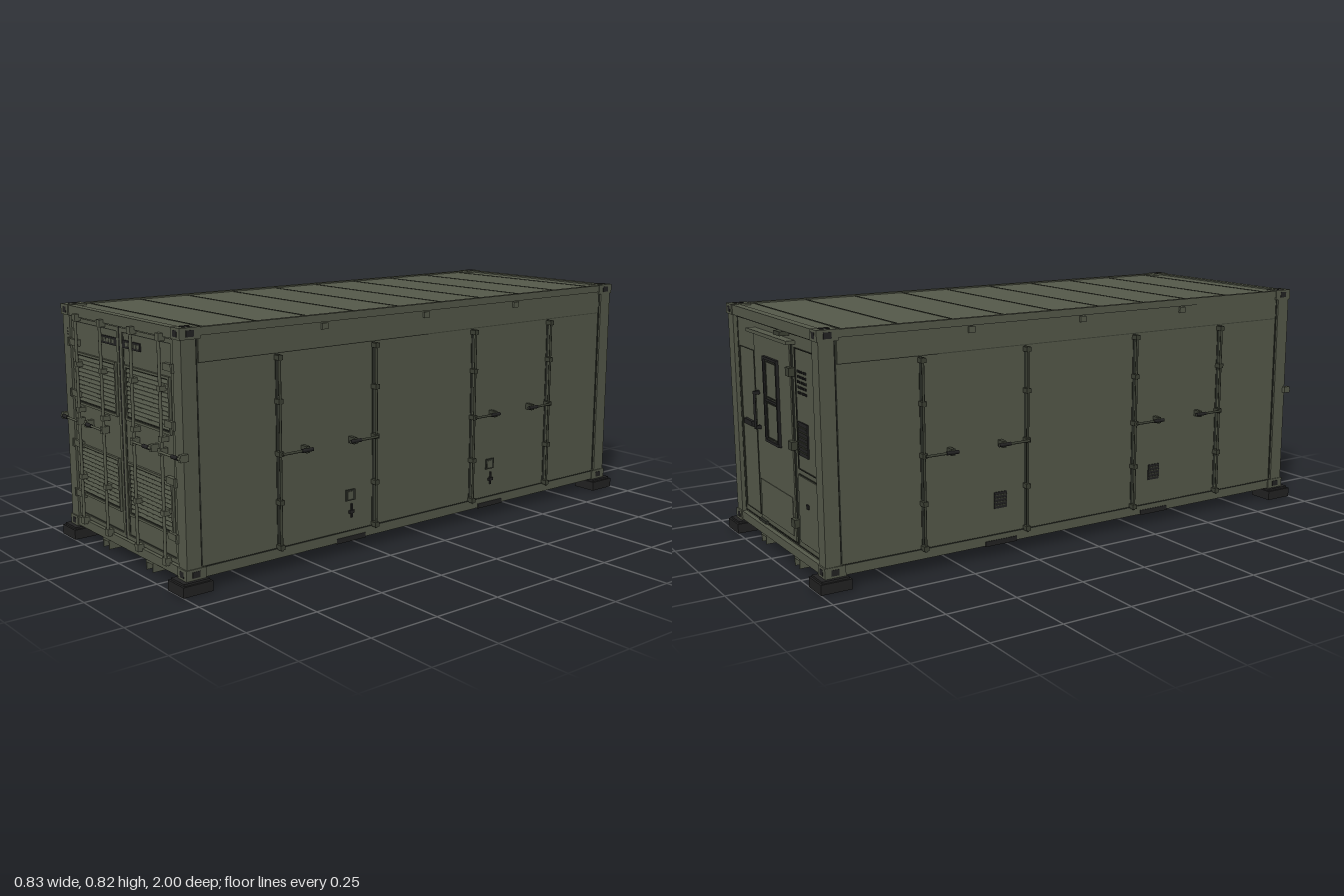
import * as THREE from 'three';

const mat = (name, color) => Object.assign(new THREE.MeshStandardMaterial({ color }), { name });
const olive = mat('olive paint', 0x55594a);
const shade = mat('dark olive', 0x3c4034);
const seam = mat('seam grey', 0x2c2f28);
const black = mat('black rubber', 0x222222);

export function createModel() {
  const root = new THREE.Group();
  root.name = 'shelterContainer';

  // Box given by its min and max corners
  const box = (name, x0, x1, y0, y1, z0, z1, m = olive, parent = root) => {
    const g = new THREE.BoxGeometry(Math.abs(x1 - x0), Math.abs(y1 - y0), Math.abs(z1 - z0));
    const mesh = new THREE.Mesh(g, m);
    mesh.position.set((x0 + x1) / 2, (y0 + y1) / 2, (z0 + z1) / 2);
    mesh.name = name;
    parent.add(mesh);
    return mesh;
  };
  // Round bar between two points
  const bar = (name, a, b, r, m = olive, parent = root) => {
    const p = new THREE.Vector3(...a), q = new THREE.Vector3(...b);
    const mesh = new THREE.Mesh(new THREE.CylinderGeometry(r, r, p.distanceTo(q), 10), m);
    mesh.position.copy(p).add(q).multiplyScalar(0.5);
    mesh.quaternion.setFromUnitVectors(new THREE.Vector3(0, 1, 0), q.sub(p).normalize());
    mesh.name = name;
    parent.add(mesh);
    return mesh;
  };
  // Rectangular border lying in the xy plane
  const border = (name, x0, x1, y0, y1, w, z0, z1, m = olive, parent = root) => {
    box(name, x0, x1, y0, y0 + w, z0, z1, m, parent);
    box(name, x0, x1, y1 - w, y1, z0, z1, m, parent);
    box(name, x0, x0 + w, y0 + w, y1 - w, z0, z1, m, parent);
    box(name, x1 - w, x1, y0 + w, y1 - w, z0, z1, m, parent);
  };

  // Body shell and roof with cross seams
  box('body', -0.382, 0.382, 0.066, 0.808, -0.957, 0.955);
  box('roof', -0.377, 0.377, 0.808, 0.815, -0.96, 0.96);
  for (let i = -4; i <= 5; i++) {
    const z = -0.1 + i * 0.195;
    box('roofSeam', -0.376, 0.376, 0.815, 0.8165, z - 0.003, z + 0.003, shade);
  }

  // Frame: posts, rails, corner castings and feet
  for (const sx of [-1, 1]) {
    box('topSideRail', sx * 0.372, sx * 0.39, 0.795, 0.82, -0.93, 0.93);
    box('bottomSideRail', sx * 0.365, sx * 0.388, 0.042, 0.075, -0.93, 0.93);
    box('railSeam', sx * 0.386, sx * 0.3885, 0.073, 0.077, -0.92, 0.92, seam);
    for (const sz of [-1, 1]) {
      box('cornerPost', sx * 0.34, sx * 0.389, 0.075, 0.787, sz * 0.92, sz * 0.972);
      for (const y of [0.04, 0.786]) {
        box('cornerCasting', sx * 0.34, sx * 0.392, y, y + 0.036, sz * 0.905, sz * 0.977);
        box('castingHoleEnd', sx * 0.354, sx * 0.376, y + 0.008, y + 0.028, sz * 0.975, sz * 0.978, black);
        box('castingHoleSide', sx * 0.391, sx * 0.3935, y + 0.008, y + 0.028, sz * 0.928, sz * 0.955, black);
      }
      box('castingHoleTop', sx * 0.355, sx * 0.378, 0.821, 0.823, sz * 0.925, sz * 0.958, black);
      box('footPad', sx * 0.318, sx * 0.411, 0, 0.034, sz * 0.893, sz, black);
      box('footTop', sx * 0.325, sx * 0.404, 0.034, 0.041, sz * 0.9, sz * 0.993, black);
    }
  }
  for (const sz of [-1, 1]) {
    box('endHeader', -0.34, 0.34, 0.786, 0.82, sz * 0.945, sz * 0.973);
    box('endSill', -0.34, 0.34, 0.045, 0.075, sz * 0.94, sz * 0.973);
  }

  // Underside: floor, cross beams, fork pockets and skid channels
  box('floor', -0.366, 0.366, 0.06, 0.066, -0.95, 0.95, shade);
  for (let i = 0; i < 10; i++) {
    const z = -0.85 + i * 0.189;
    box('crossBeam', -0.366, 0.366, 0.044, 0.06, z - 0.011, z + 0.011);
  }
  for (const sx of [-1, 1]) {
    for (const z of [-0.33, 0.33]) {
      box('forkPocket', sx * 0.23, sx * 0.39, 0.039, 0.057, z - 0.062, z + 0.062, black);
    }
    box('skidTop', sx * 0.126, sx * 0.17, 0.034, 0.044, -0.968, 0.968);
    for (const x of [0.128, 0.168]) box('skidLeg', sx * (x - 0.002), sx * (x + 0.002), 0.008, 0.036, -0.968, 0.968);
    box('skidPlate', sx * 0.112, sx * 0.285, 0.041, 0.046, 0.93, 0.968, seam);
  }

  // Long sides: panels, locking rods, handles and latches
  for (const sx of [-1, 1]) {
    const side = new THREE.Group();
    side.name = sx > 0 ? 'leftSide' : 'rightSide';
    root.add(side);
    const X = (a) => sx * a;
    box('sideUpperStrip', X(0.381), X(0.386), 0.715, 0.795, -0.91, 0.91, olive, side);
    box('sideStripSeam', X(0.381), X(0.3855), 0.712, 0.715, -0.91, 0.91, shade, side);
    for (const z of [-0.915, 0.915]) box('postSeam', X(0.381), X(0.385), 0.08, 0.79, z - 0.002, z + 0.002, seam, side);
    for (const z of [-0.44, 0, 0.44]) box('railLug', X(0.385), X(0.394), 0.772, 0.792, z - 0.012, z + 0.012, olive, side);
    for (const sz of [-1, 1]) for (const [z, dir] of [[0.625, -1], [0.23, 1]]) {
      const zr = sz * z, zh = sz * (z + dir * 0.12);
      box('doorSeam', X(0.381), X(0.384), 0.08, 0.712, zr - 0.005, zr + 0.005, seam, side);
      bar('sideRod', [X(0.4), 0.068, zr], [X(0.4), 0.71, zr], 0.0042, shade, side);
      for (const y of [0.08, 0.23, 0.39, 0.56, 0.7]) box('rodBracket', X(0.381), X(0.406), y - 0.008, y + 0.008, zr - 0.009, zr + 0.009, shade, side);
      bar('handleArm', [X(0.41), 0.39, zr], [X(0.41), 0.39, zh], 0.0045, shade, side);
      bar('handleGrip', [X(0.41), 0.39, sz * (z + dir * 0.075)], [X(0.41), 0.39, zh], 0.0065, black, side);
      box('handleCatch', X(0.381), X(0.412), 0.38, 0.402, sz * (z + dir * 0.1) - 0.007, sz * (z + dir * 0.1) + 0.007, shade, side);
    }
    for (const z of [-0.33, 0.33]) {
      if (sx > 0) {
        box('latchPlate', X(0.381), X(0.386), 0.18, 0.218, z - 0.02, z + 0.02, seam, side);
        box('latchFace', X(0.385), X(0.388), 0.186, 0.212, z - 0.008, z + 0.014, olive, side);
        box('latchPull', X(0.381), X(0.387), 0.12, 0.168, z - 0.008, z - 0.002, black, side);
        box('latchHook', X(0.381), X(0.388), 0.135, 0.145, z - 0.015, z + 0.006, black, side);
      } else {
        box('sideVent', X(0.381), X(0.385), 0.165, 0.222, z - 0.025, z + 0.025, black, side);
        for (let i = 0; i < 4; i++) box('ventBar', X(0.384), X(0.387), 0.174 + i * 0.012, 0.177 + i * 0.012, z - 0.024, z + 0.024, shade, side);
      }
    }
  }

  // Front: two louvred doors, mirrored about the middle
  box('doorGap', -0.003, 0.003, 0.078, 0.783, 0.955, 0.966, black);
  for (const s of [-1, 1]) {
    const door = new THREE.Group();
    door.name = s > 0 ? 'leftDoor' : 'rightDoor';
    root.add(door);
    const B = (n, x0, x1, y0, y1, z0, z1, m) => box(n, Math.min(s * x0, s * x1), Math.max(s * x0, s * x1), y0, y1, z0, z1, m, door);
    const F = (n, x0, x1, y0, y1, w, z0, z1, m) => border(n, Math.min(s * x0, s * x1), Math.max(s * x0, s * x1), y0, y1, w, z0, z1, m, door);
    B('doorPanel', 0.004, 0.335, 0.08, 0.782, 0.95, 0.962);
    F('doorRim', 0.004, 0.335, 0.08, 0.782, 0.014, 0.962, 0.967);
    F('panelSeam', 0.018, 0.321, 0.094, 0.768, 0.0025, 0.962, 0.9635, seam);
    for (const y0 of [0.165, 0.485]) {
      B('louvreBack', 0.036, 0.304, y0 + 0.005, y0 + 0.175, 0.962, 0.9635, shade);
      F('louvreFrame', 0.03, 0.31, y0, y0 + 0.18, 0.008, 0.962, 0.97);
      F('louvreEdge', 0.038, 0.302, y0 + 0.008, y0 + 0.172, 0.003, 0.962, 0.966, seam);
      for (let i = 0; i < 11; i++) {
        const slat = B('louvreSlat', 0.041, 0.299, y0 + 0.013 + i * 0.0143, y0 + 0.024 + i * 0.0143, 0.9645, 0.9665);
        slat.rotation.x = -0.35;
      }
    }
    // Slotted vent strip
    B('ventStrip', 0.018, 0.132, 0.718, 0.744, 0.962, 0.966, black);
    for (let i = 0; i < 5; i++) B('ventSlot', 0.038 + i * 0.0185, 0.052 + i * 0.0185, 0.725, 0.738, 0.965, 0.967);
    // Hinges
    for (const y of [0.165, 0.343, 0.52, 0.696]) {
      B('hinge', 0.285, 0.345, y - 0.011, y + 0.011, 0.962, 0.976);
      B('hingePin', 0.337, 0.346, y - 0.014, y + 0.014, 0.965, 0.98);
    }
    // Locking rods and handles
    for (const [x, dir] of [[0.102, 1], [0.277, 1]]) {
      bar('lockRod', [s * x, 0.068, 0.982], [s * x, 0.79, 0.982], 0.0055, olive, door);
      for (const y of [0.078, 0.785]) B('rodKeeper', x - 0.011, x + 0.011, y - 0.012, y + 0.012, 0.962, 0.988);
      for (const y of [0.235, 0.47, 0.627]) B('rodGuide', x - 0.01, x + 0.01, y - 0.008, y + 0.008, 0.962, 0.988);
      const xe = x + 0.122 * dir;
      B('handleHub', x - 0.008, x + 0.008, 0.419, 0.442, 0.965, 0.992);
      bar('doorHandle', [s * x, 0.431, 0.99], [s * xe, 0.431, 0.99], 0.004, olive, door);
      bar('doorGrip', [s * (x + 0.073), 0.431, 0.99], [s * (x + 0.108), 0.431, 0.99], 0.0065, black, door);
      B('handleCatch', xe - 0.014, xe + 0.002, 0.42, 0.443, 0.962, 0.99);
    }
  }
  for (const y of [0.72, 0.73, 0.74]) box('postRivet', -0.357, -0.353, y - 0.002, y + 0.002, 0.971, 0.974, black);

  // Back: personnel door with window
  const back = new THREE.Group();
  back.name = 'backWall';
  root.add(back);
  const K = (n, x0, x1, y0, y1, d, m) => box(n, x0, x1, y0, y1, -0.95, -d, m, back);
  const rim = (n, x0, x1, y0, y1, w, d, m) => border(n, x0, x1, y0, y1, w, -d, -0.95, m, back);
  rim('wallSeam', -0.338, 0.338, 0.08, 0.782, 0.003, 0.959, seam);
  rim('doorSeam', -0.15, 0.17, 0.088, 0.75, 0.004, 0.962, seam);
  K('personnelDoor', -0.145, 0.165, 0.093, 0.745, 0.966);
  K('doorHood', -0.175, 0.175, 0.75, 0.762, 0.988);
  K('lowerDoorPlate', -0.13, 0.15, 0.11, 0.24, 0.968);
  rim('windowFrame', -0.05, 0.07, 0.39, 0.68, 0.009, 0.976, black);
  K('windowBack', -0.041, 0.061, 0.399, 0.671, 0.969);
  K('windowBar', -0.041, 0.061, 0.53, 0.538, 0.974, black);
  for (const y of [0.399, 0.538]) rim('paneSeal', -0.037, 0.057, y + 0.004, y + 0.128, 0.004, 0.972, seam);
  bar('pullBar', [0.135, 0.42, -0.984], [0.135, 0.55, -0.984], 0.0045, black, back);
  for (const y of [0.425, 0.545]) K('pullMount', 0.129, 0.141, y - 0.006, y + 0.006, 0.984, black);
  for (const y of [0.16, 0.42, 0.66]) K('backHinge', -0.165, -0.135, y - 0.014, y + 0.014, 0.978, shade);
  K('sideGrab', 0.215, 0.29, 0.41, 0.428, 0.968, black);
  K('doorStop', 0.1, 0.165, 0.088, 0.098, 0.976, seam);

  // Back service panels and grilles
  rim('servicePanelSeam', -0.325, -0.17, 0.1, 0.33, 0.003, 0.96, seam);
  K('servicePanel', -0.322, -0.173, 0.103, 0.327, 0.963);
  K('panelLock', -0.255, -0.24, 0.23, 0.245, 0.967, black);
  rim('upperPanelSeam', -0.325, -0.17, 0.345, 0.74, 0.003, 0.96, seam);
  for (let r = 0; r < 5; r++) for (let c = 0; c < 5; c++) {
    const x = -0.255 + c * 0.015, y = 0.595 + r * 0.017;
    K('grilleHole', x, x + 0.009, y, y + 0.008, 0.959, black);
  }
  K('airGrille', -0.258, -0.185, 0.395, 0.505, 0.962, black);
  for (let i = 0; i < 6; i++) K('grilleBar', -0.255, -0.188, 0.408 + i * 0.016, 0.412 + i * 0.016, 0.965, shade);
  K('lampBracket', -0.13, -0.08, 0.772, 0.786, 0.99, shade);
  rim('leftPanelSeam', 0.19, 0.325, 0.1, 0.68, 0.0025, 0.959, shade);

  return root;
}
